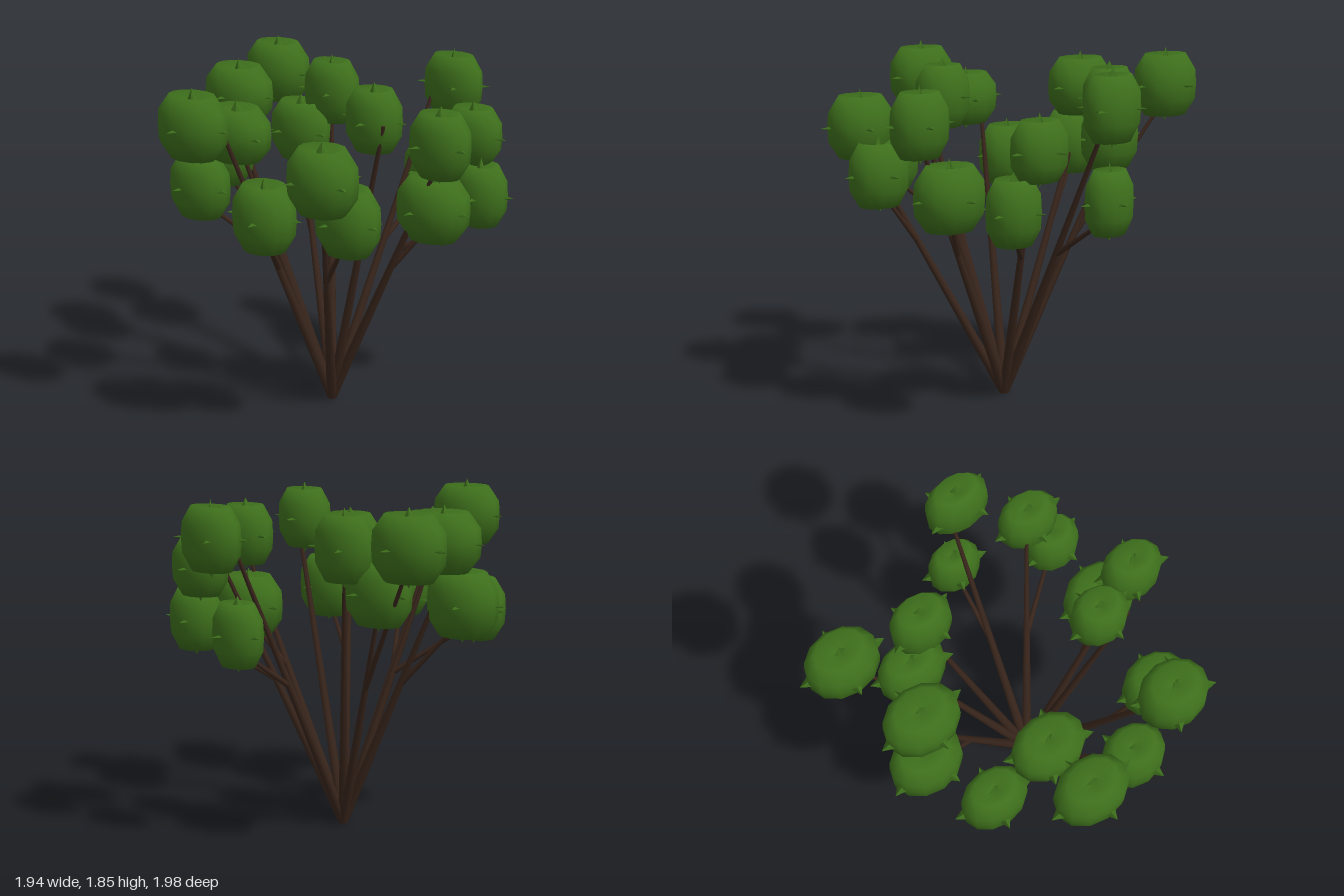
import * as THREE from 'three';

const leafGreen = new THREE.MeshStandardMaterial({ color: 0x3e701c });
leafGreen.name = 'leaf green';
const barkBrown = new THREE.MeshStandardMaterial({ color: 0x38251b });
barkBrown.name = 'bark brown';

// Leaf clumps: x, z, bottom y, top y, half width in x and z, the clump whose
// stem this one forks from (-1 = own stem from the root), optional stem tip
const CLUMPS = [
  [0.23, -0.84, 1.47, 1.80, 0.18, 0.118, -1, [0.15, 1.57, -0.75]],
  [0.135, -0.755, 0.98, 1.31, 0.15, 0.11, 0],
  [0.53, -0.63, 1.29, 1.59, 0.17, 0.125, -1, [0.45, 1.42, -0.53]],
  [0.64, -0.56, 0.98, 1.31, 0.155, 0.13, 2],
  [0.545, 0.59, 1.28, 1.61, 0.19, 0.16, -1],
  [0.57, 0.43, 1.04, 1.38, 0.18, 0.14, 4],
  [-0.135, 0.795, 1.48, 1.80, 0.20, 0.15, -1, [-0.025, 1.59, 0.69]],
  [0.24, 0.68, 1.05, 1.39, 0.175, 0.145, 6],
  [-0.15, 0.47, 1.40, 1.68, 0.20, 0.15, -1, [-0.20, 1.45, 0.40]],
  [-0.46, 0.44, 1.03, 1.36, 0.185, 0.135, 8],
  [-0.585, 0.01, 1.45, 1.76, 0.207, 0.16, -1, [-0.61, 1.47, 0.02]],
  [-0.64, 0.10, 1.11, 1.45, 0.20, 0.155, 10],
  [0.76, -0.05, 1.37, 1.70, 0.17, 0.13, -1],
  [0.65, -0.145, 1.00, 1.33, 0.205, 0.165, 12],
  [0.445, 0.09, 1.48, 1.80, 0.155, 0.13, -1, [0.57, 1.64, 0.165]],
  [-0.29, -0.42, 1.42, 1.76, 0.17, 0.125, -1],
  [-0.43, -0.32, 1.20, 1.53, 0.19, 0.135, -1],
  [-0.735, -0.46, 1.47, 1.80, 0.20, 0.155, 16],
];
const ROOT = new THREE.Vector3(0.08, 0, -0.01);

// Tapered straight stem between two points
function stem(name, a, b, ra, rb) {
  const d = b.clone().sub(a);
  const m = new THREE.Mesh(new THREE.CylinderGeometry(rb, ra, d.length(), 7), barkBrown);
  m.name = name;
  m.position.copy(a).add(b).multiplyScalar(0.5);
  m.quaternion.setFromUnitVectors(new THREE.Vector3(0, 1, 0), d.normalize());
  return m;
}

// Smooth barrel of unit half size with dished ends
const barrelProfile = [[0, -0.78], [0.66, -1], [0.97, -0.48], [1, 0], [0.97, 0.48], [0.66, 1], [0, 0.78]];
const barrelGeo = new THREE.LatheGeometry(barrelProfile.map(([r, y]) => new THREE.Vector2(r, y)), 12);

// Flattened pointed leaf, its base sunk into the barrel
const TIP_OUT = 0.045;
const TIP_LENGTH = 0.12;
const tipGeo = new THREE.ConeGeometry(0.066, TIP_LENGTH, 4);
tipGeo.scale(1, 1, 0.28);

function leafClump([x, z, y0, y1, rx, rz], i) {
  const g = new THREE.Group();
  g.name = 'leafClump';
  g.position.set(x, (y0 + y1) / 2, z);
  const ry = (y1 - y0) / 2;
  const barrel = new THREE.Mesh(barrelGeo, leafGreen);
  barrel.name = 'foliage';
  barrel.scale.set(rx, ry, rz);
  g.add(barrel);

  // One leaf tip above, one below, four around the waist
  const up = new THREE.Vector3(0, 1, 0);
  const turn = ((i * 37) % 50 - 25) * Math.PI / 180;
  const dirs = [up, up.clone().negate()];
  for (let k = 0; k < 4; k++) {
    const a = turn + k * Math.PI / 2;
    dirs.push(new THREE.Vector3(Math.cos(a), 0, Math.sin(a)));
  }
  const inset = TIP_OUT - TIP_LENGTH / 2;
  for (const d of dirs) {
    const tip = new THREE.Mesh(tipGeo, leafGreen);
    tip.name = 'leafTip';
    if (d.y) {
      tip.rotation.set(d.y < 0 ? Math.PI : 0, turn, 0);
      tip.position.y = d.y * (ry + inset - 0.01);
    } else {
      // broad side faces up, tip points outward
      const side = new THREE.Vector3().crossVectors(d, up);
      tip.quaternion.setFromRotationMatrix(new THREE.Matrix4().makeBasis(side, d, up));
      tip.position.set(d.x * (rx + inset), 0, d.z * (rz + inset));
    }
    g.add(tip);
  }
  return g;
}

export function createModel() {
  const model = new THREE.Group();
  model.name = 'shrub';
  const ends = CLUMPS.map(([x, z, y0, y1, , , , end]) =>
    end ? new THREE.Vector3(...end) : new THREE.Vector3(x, y0 + (y1 - y0) * 0.25, z));

  CLUMPS.forEach((c, i) => {
    model.add(leafClump(c, i));
    if (c[6] < 0) {
      model.add(stem('mainStem', ROOT, ends[i], 0.029, 0.010));
    } else {
      // side branch leaves the parent stem about halfway up
      const parent = ends[c[6]];
      const fork = ROOT.clone().lerp(parent, 0.82 / parent.y);
      model.add(stem('sideBranch', fork, ends[i], 0.016, 0.009));
    }
  });
  return model;
}
